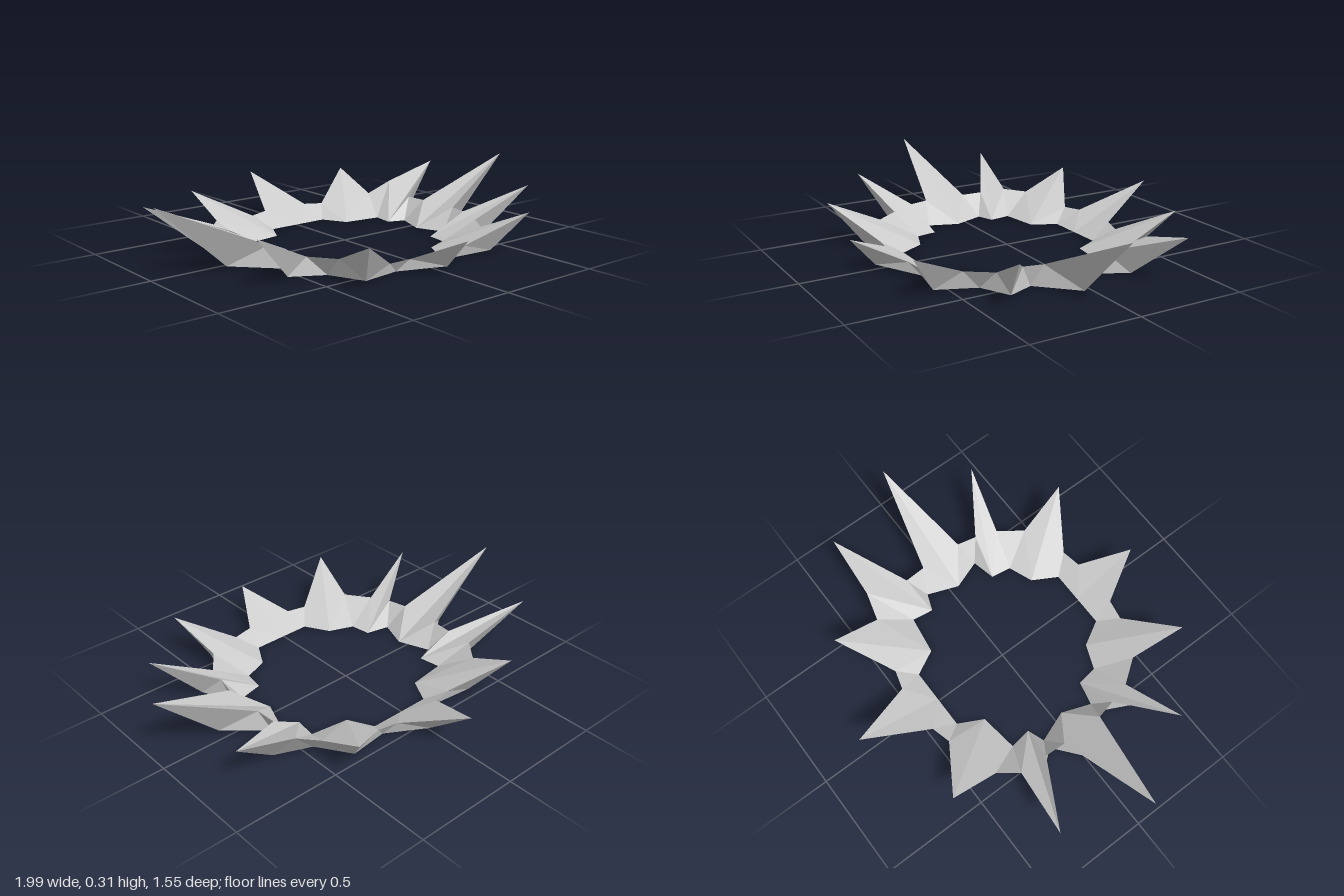
import * as THREE from 'three';

const CX = 0.01; // mirror axis of the ring

// Spikes of the right half, back to front: inner point [x,z], keel and tip [x,y,z]
const SPIKES = [
  { inner: [0.01, -0.37], keel: [0.01, 0.02, -0.555], tip: [0.01, 0.2, -0.78] },
  { inner: [0.22, -0.255], keel: [0.36, 0.01, -0.46], tip: [0.465, 0.19, -0.605] },
  { inner: [0.385, -0.13], keel: [0.62, 0.01, -0.24], tip: [0.865, 0.22, -0.335] },
  { inner: [0.41, 0.045], keel: [0.69, 0.01, 0.045], tip: [0.99, 0.3, 0.045] },
  { inner: [0.35, 0.205], keel: [0.58, 0.01, 0.325], tip: [0.785, 0.22, 0.41] },
  { inner: [0.22, 0.345], keel: [0.37, 0.01, 0.565], tip: [0.465, 0.19, 0.695] },
  { inner: [0.01, 0.46], keel: [0.01, 0.025, 0.66], tip: [0.01, 0.155, 0.772] },
];

// Gaps between neighbours: inner and outer foot [x,z], shoulders of both spikes [x,y,z]
const GAPS = [
  { inner: [0.16, -0.37], outer: [0.17, -0.43], a: [0.13, 0.065, -0.48], b: [0.22, 0.06, -0.455] },
  { inner: [0.4, -0.23], outer: [0.45, -0.3], a: [0.47, 0.09, -0.38], b: [0.54, 0.1, -0.29] },
  { inner: [0.465, -0.1], outer: [0.51, -0.1], a: [0.545, 0.1, -0.155], b: [0.55, 0.1, -0.055] },
  { inner: [0.46, 0.18], outer: [0.51, 0.19], a: [0.55, 0.1, 0.15], b: [0.53, 0.1, 0.24] },
  { inner: [0.335, 0.3], outer: [0.42, 0.38], a: [0.5, 0.085, 0.345], b: [0.42, 0.085, 0.455] },
  { inner: [0.155, 0.46], outer: [0.17, 0.52], a: [0.13, 0.055, 0.56], b: [0.225, 0.05, 0.545] },
];
// the last gap lists its shoulders in ring order: side spike first, front spike second
[GAPS[5].a, GAPS[5].b] = [GAPS[5].b, GAPS[5].a];

const ground = ([x, z]) => [x, 0, z];
const flip = ([x, y, z]) => [2 * CX - x, y, z];

function facets(name, triangles, material) {
  const geometry = new THREE.BufferGeometry();
  geometry.setAttribute('position', new THREE.Float32BufferAttribute(triangles.flat(2), 3));
  geometry.computeVertexNormals();
  const mesh = new THREE.Mesh(geometry, material);
  mesh.name = name;
  return mesh;
}

export function createModel() {
  const group = new THREE.Group();
  group.name = 'spikedRing';
  const material = new THREE.MeshStandardMaterial({
    color: 0xcccccc, flatShading: true, side: THREE.DoubleSide,
  });

  // Complete the ring by mirroring the right half
  const spikes = SPIKES.map((s) => ({ M: ground(s.inner), K: s.keel, T: s.tip }));
  const gaps = GAPS.map((g) => ({ E: ground(g.inner), G: ground(g.outer), a: g.a, b: g.b }));
  for (let i = 5; i >= 1; i--) {
    const { M, K, T } = spikes[i];
    spikes.push({ M: flip(M), K: flip(K), T: flip(T) });
  }
  for (let i = 5; i >= 0; i--) {
    const { E, G, a, b } = gaps[i];
    gaps.push({ E: flip(E), G: flip(G), a: flip(b), b: flip(a) });
  }
  // Small irregularities: longer left spike, raised shoulder at the right rear
  spikes[9].T = [-1, 0.31, 0.045];
  gaps[1].b = [0.585, 0.145, -0.35];

  spikes.forEach(({ M, K, T }, i) => {
    const prev = gaps[(i + 11) % 12];
    const next = gaps[i];
    const S0 = prev.b, S1 = next.a;
    group.add(facets('spike' + (i + 1), [
      // upper faces
      [M, S1, T], [M, next.E, S1], [M, T, S0], [M, S0, prev.E],
      // outer faces meeting at the keel
      [K, T, S1], [K, S1, next.G], [K, S0, T], [K, prev.G, S0],
      // underside
      [M, next.G, next.E], [M, K, next.G], [M, prev.E, prev.G], [M, prev.G, K],
    ], material));
  });

  // Notches joining neighbouring spikes
  gaps.forEach(({ E, G, a, b }, i) => {
    group.add(facets('notch' + (i + 1), [[E, b, a], [G, a, b]], material));
  });
  return group;
}
